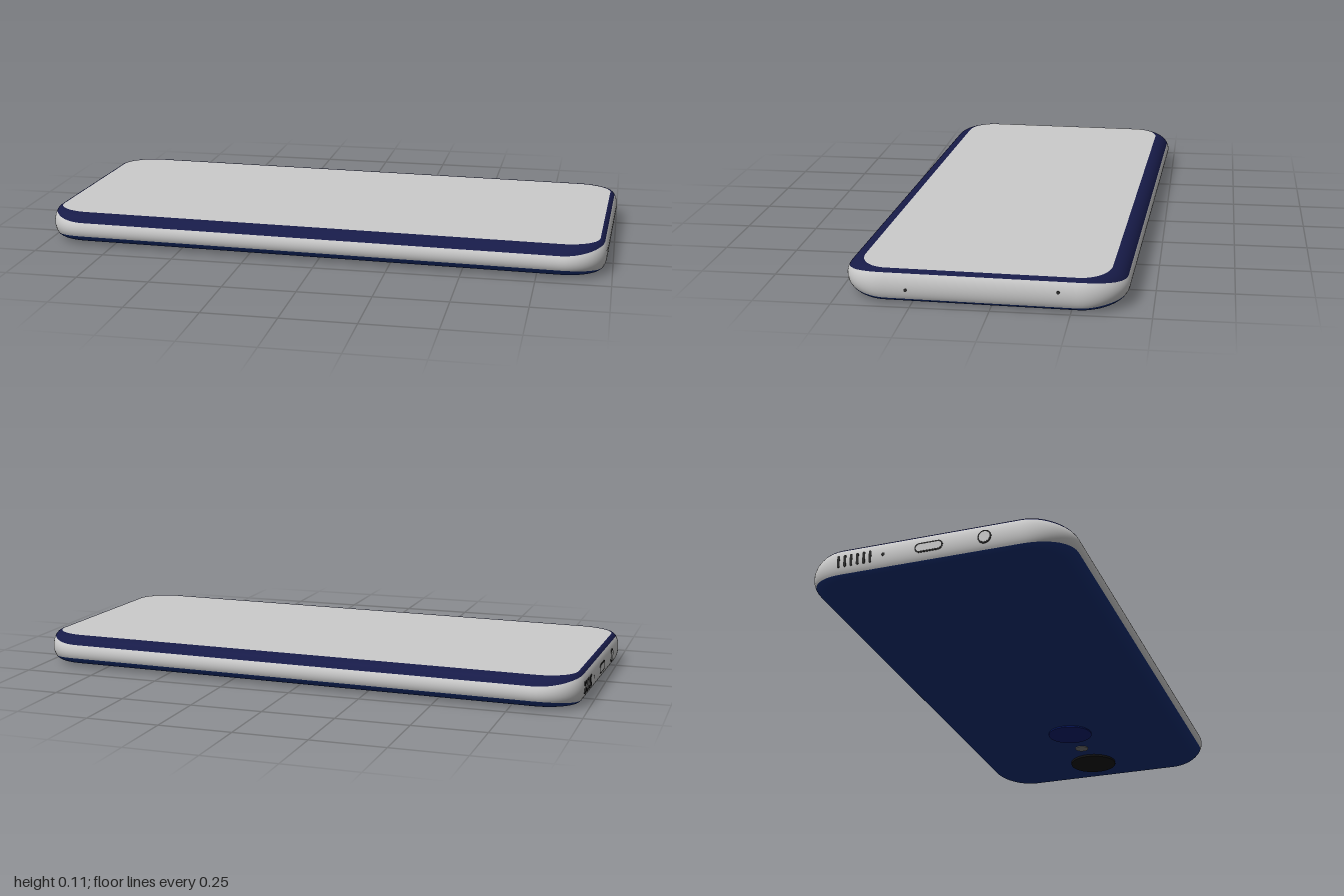
import * as THREE from 'three';

const L = 0.991, W = 0.452, R = 0.15;      // half length, half width, corner radius
const MID = 0.06, HALF_H = 0.052;          // middle height and half thickness
const EDGE_X = 0.026, EDGE_Z = 0.056;      // edge rounding on short ends and long sides
const CORNER_STEPS = 12;

const mat = (color, side = THREE.FrontSide) =>
  new THREE.MeshStandardMaterial({ color, side, roughness: 0.6 });

function named(name, geometry, material) {
  const mesh = new THREE.Mesh(geometry, material);
  mesh.name = name;
  return mesh;
}

// Outline samples: corner centre plus outward direction
function outline() {
  const pts = [];
  [[1, 1], [-1, 1], [-1, -1], [1, -1]].forEach(([sx, sz], q) => {
    for (let k = 0; k <= CORNER_STEPS; k++) {
      const t = (q + k / CORNER_STEPS) * Math.PI / 2;
      pts.push({ cx: sx * (L - R), cz: sz * (W - R), nx: Math.cos(t), nz: Math.sin(t) });
    }
  });
  return pts;
}

// Point on the rounded body at edge angle a (-90 degrees = underside, 90 = top)
function bodyPoint(p, a) {
  const inset = 1 - Math.cos(a);
  return [
    p.cx + p.nx * (R - EDGE_X * inset),
    MID + HALF_H * Math.sin(a),
    p.cz + p.nz * (R - EDGE_Z * inset),
  ];
}

// The metal band is tall on the short ends and thin on the long sides
const bandAngle = (p) => Math.asin(0.48 + 0.32 * p.nx * p.nx);

// Strip around the body between two edge angles
function band(from, to, steps) {
  const pts = outline(), n = pts.length, pos = [], idx = [];
  for (let j = 0; j <= steps; j++) {
    for (const p of pts) {
      pos.push(...bodyPoint(p, THREE.MathUtils.lerp(from(p), to(p), j / steps)));
    }
  }
  for (let j = 0; j < steps; j++) {
    for (let i = 0; i < n; i++) {
      const a = j * n + i, b = j * n + (i + 1) % n;
      idx.push(a, a + n, b, b, a + n, b + n);
    }
  }
  return build(pos, idx);
}

// Flat face closing the body, up = 1 for the top and -1 for the underside
function face(up) {
  const pts = outline(), n = pts.length, pos = [0, MID + up * HALF_H, 0], idx = [];
  for (const p of pts) pos.push(...bodyPoint(p, up * Math.PI / 2));
  for (let i = 0; i < n; i++) {
    const a = 1 + i, b = 1 + (i + 1) % n;
    if (up > 0) idx.push(0, b, a);
    else idx.push(0, a, b);
  }
  return build(pos, idx);
}

function build(pos, idx) {
  const g = new THREE.BufferGeometry();
  g.setAttribute('position', new THREE.Float32BufferAttribute(pos, 3));
  g.setIndex(idx);
  g.computeVertexNormals();
  return g;
}

// Thin pill-shaped plate on a short end, end = 1 for +x and -1 for -x
function endPlate(name, end, z, y, w, h, proud, material) {
  const r = Math.min(w, h) / 2, a = w / 2 - r, b = h / 2 - r;
  const s = new THREE.Shape();
  s.absarc(a, b, r, 0, Math.PI / 2);
  s.absarc(-a, b, r, Math.PI / 2, Math.PI);
  s.absarc(-a, -b, r, Math.PI, Math.PI * 1.5);
  s.absarc(a, -b, r, Math.PI * 1.5, Math.PI * 2);
  const g = new THREE.ExtrudeGeometry(s, { depth: 0.006, bevelEnabled: false, curveSegments: 8 });
  g.rotateY(end * Math.PI / 2);
  const mesh = named(name, g, material);
  mesh.position.set(end * (L - 0.006 + proud), y, z);
  return mesh;
}

// Round disc on the back, reaching from height y into the body
function backDisc(name, x, r, y, material) {
  const h = 0.012 - y;
  const mesh = named(name, new THREE.CylinderGeometry(r, r, h, 40), material);
  mesh.position.set(x, y + h / 2, 0);
  return mesh;
}

export function createModel() {
  const phone = new THREE.Group();
  phone.name = 'phone';
  const grey = mat(0xcccccc), navy = mat(0x171b48), blue = mat(0x163075), dark = mat(0x2a2a2a);
  const quarter = Math.PI / 2;

  // Body shell: blue back, metal frame, dark glass border, screen
  phone.add(
    named('backEdge', band(() => -quarter, (p) => -bandAngle(p), 10), blue),
    named('backCover', face(-1), blue),
    named('metalFrame', band((p) => -bandAngle(p), bandAngle, 12), grey),
    named('frontGlassBorder', band(bandAngle, () => quarter, 10), navy),
    named('screen', face(1), grey),
  );

  // Camera, flash and fingerprint sensor on the underside
  phone.add(
    backDisc('cameraLens', 0.81, 0.091, 0, mat(0x161616)),
    backDisc('flash', 0.645, 0.026, 0.005, mat(0x777777)),
    backDisc('fingerprintSensor', 0.485, 0.085, 0.003, mat(0x0c1e70)),
  );

  // Speaker slots, microphone, charging port and audio jack on the -x end
  const ports = new THREE.Group();
  ports.name = 'ports';
  for (let i = 0; i < 6; i++) {
    ports.add(endPlate('speakerSlot', -1, -0.31 + i * 0.022, MID, 0.009, 0.042, 0.0005, dark));
  }
  ports.add(
    endPlate('microphone', -1, -0.155, MID, 0.012, 0.012, 0.0005, dark),
    endPlate('chargingPortRim', -1, 0, MID, 0.096, 0.034, 0.0004, dark),
    endPlate('chargingPort', -1, 0, MID, 0.086, 0.024, 0.0009, grey),
    endPlate('audioJackRim', -1, 0.186, MID, 0.046, 0.046, 0.0004, dark),
    endPlate('audioJack', -1, 0.186, MID, 0.036, 0.036, 0.0009, grey),
  );
  phone.add(ports);

  // Pin holes on the +x end
  phone.add(
    endPlate('trayPinHole', 1, 0.232, 0.05, 0.011, 0.011, 0.0005, dark),
    endPlate('topMicrophone', 1, -0.245, 0.07, 0.011, 0.011, 0.0005, dark),
  );

  // The phone lies slightly turned
  phone.rotation.y = -0.033;
  const model = new THREE.Group();
  model.name = 'smartphone';
  model.add(phone);
  return model;
}
